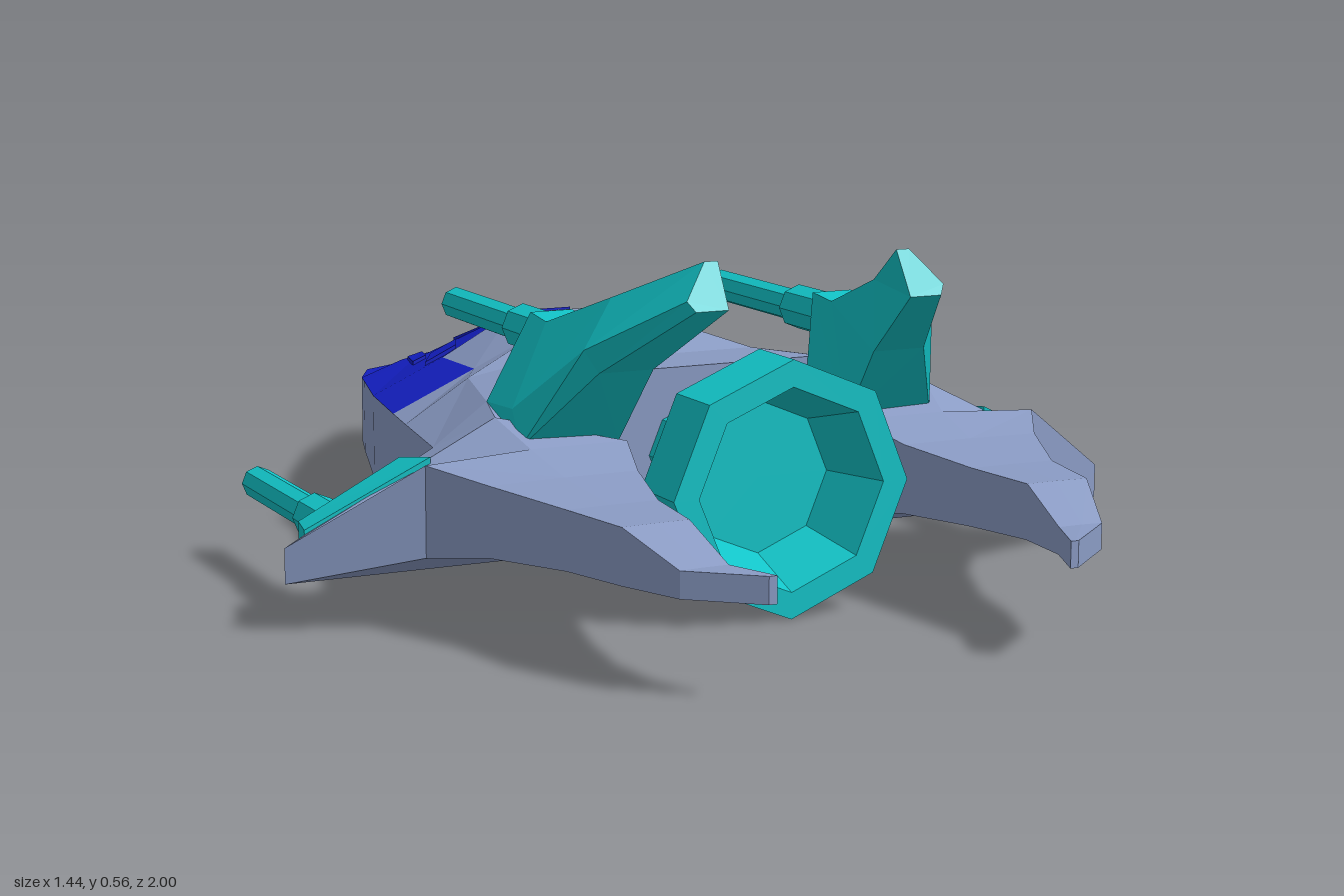
import * as THREE from 'three';

const paint = (color) => new THREE.MeshStandardMaterial({ color, flatShading: true });
const HULL = paint(0x8a9bc4), TEAL = paint(0x12c4c8), BLUE = paint(0x1420c8);

// Skins a list of closed rings, caps both ends and turns the faces outward.
// keep(row, side) selects which quads are built.
function loft(rings, keep = () => true, caps = true) {
  const tris = [];
  const n = rings[0].length;
  for (let i = 0; i < rings.length - 1; i++) {
    for (let j = 0; j < n; j++) {
      const k = (j + 1) % n, a = rings[i], b = rings[i + 1], on = keep(i, j);
      tris.push([a[j], a[k], b[k], on], [a[j], b[k], b[j], on]);
    }
  }
  const last = rings[rings.length - 1];
  for (let j = 1; j < n - 1; j++) {
    tris.push([rings[0][0], rings[0][j + 1], rings[0][j], caps], [last[0], last[j], last[j + 1], caps]);
  }
  let volume = 0;
  const v = [0, 1, 2].map(() => new THREE.Vector3());
  for (const t of tris) {
    v.forEach((p, i) => p.fromArray(t[i]));
    volume += v[0].dot(v[1].cross(v[2]));
  }
  const pos = [];
  for (const [a, b, c, on] of tris) {
    if (on) pos.push(...a, ...(volume < 0 ? [...c, ...b] : [...b, ...c]));
  }
  const g = new THREE.BufferGeometry();
  g.setAttribute('position', new THREE.Float32BufferAttribute(pos, 3));
  g.computeVertexNormals();
  return g;
}

// Hull stations: z, half width, bottom, edge height, shoulder x, y, roof x, y
const STATIONS = [
  [-1, 0.04, 0.115, 0.14, 0.03, 0.141, 0.01, 0.142],
  [-0.8, 0.155, 0.09, 0.178, 0.1, 0.185, 0.04, 0.19],
  [-0.6, 0.24, 0.08, 0.2, 0.16, 0.228, 0.07, 0.245],
  [-0.52, 0.265, 0.078, 0.208, 0.17, 0.24, 0.09, 0.27],
  [-0.3, 0.33, 0.075, 0.222, 0.2, 0.28, 0.07, 0.35],
  [-0.06, 0.385, 0.075, 0.235, 0.24, 0.3, 0.1, 0.365],
  [0.06, 0.41, 0.075, 0.24, 0.3, 0.308, 0.22, 0.322],
  [0.28, 0.45, 0.075, 0.245, 0.36, 0.31, 0.23, 0.34],
];

// Height of the deck at a point
function deckY(x, z) {
  const i = Math.max(0, STATIONS.findIndex((s) => s[0] >= z) - 1);
  const a = STATIONS[i], b = STATIONS[i + 1], f = (z - a[0]) / (b[0] - a[0]);
  const [, w, , e, m, my, t, ty] = a.map((p, k) => p + (b[k] - p) * f);
  const ax = Math.abs(x);
  if (ax <= t) return ty;
  return ax <= m ? ty + (my - ty) * (ax - t) / (m - t) : my + (e - my) * (ax - m) / (w - m);
}

// Thin panel lying on the deck
const panel = (pts) => loft([-0.02, 0.006].map((d) => pts.map(([x, z]) => [x, deckY(x, z) + d, z])));

// Flat belly plate: rows of z, half width, underside height
const plate = (rows) => loft(rows.map(([z, w, y]) => [[-w, y, z], [w, y, z], [w, y + 0.025, z], [-w, y + 0.025, z]]));

// Eight-sided turned part lying along z; profile is [radius, z]
function turned(profile, direction) {
  const pts = profile.map(([r, z]) => new THREE.Vector2(r, z * direction));
  return new THREE.LatheGeometry(pts, 8).rotateX(direction * Math.PI / 2);
}

export function createModel() {
  const model = new THREE.Group();
  const add = (name, geometry, material, x = 0, y = 0) => {
    const mesh = new THREE.Mesh(geometry, material);
    mesh.name = name;
    mesh.position.set(x, y, 0);
    model.add(mesh);
  };

  // Faceted hull with painted deck facets
  const rings = STATIONS.map(([z, w, b, e, m, my, t, ty]) => [
    [-w, b, z], [w, b, z], [w, e, z], [m, my, z], [t, ty, z], [-t, ty, z], [-m, my, z], [-w, e, z],
  ]);
  const painted = (i, j) => (j === 6 && i >= 1 && i <= 4) || ((j === 3 || j === 5) && (i === 2 || i === 3));
  add('hull', loft(rings, (i, j) => !painted(i, j)), HULL);
  add('paintedDeck', loft(rings, painted, false), BLUE);

  // Stepped belly plates
  add('outerBellyPlate', plate([[0.23, 0.39, 0.065], [-0.3, 0.29, 0.065], [-0.58, 0.21, 0.069], [-0.78, 0.13, 0.08], [-0.95, 0.03, 0.1]]), HULL);
  add('innerBellyPlate', plate([[0.13, 0.26, 0.055], [-0.3, 0.19, 0.056], [-0.55, 0.13, 0.06], [-0.73, 0.06, 0.07]]), HULL);

  // Windows and nose marker
  add('cockpitWindow', panel([[-0.09, -0.52], [0.09, -0.52], [0.05, -0.31], [-0.05, -0.31]]), BLUE);
  add('noseMarker', panel([[0, -0.91], [0.07, -0.79], [-0.07, -0.79]]), TEAL);
  for (const [side, s, mat] of [['left', 1, TEAL], ['right', -1, BLUE]]) {
    add(side + 'FrontWindow', panel([[0.14 * s, -0.55], [0.165 * s, -0.56], [0.205 * s, -0.43], [0.18 * s, -0.43]]), mat);
    add(side + 'RearWindow', panel([[0.13 * s, -0.41], [0.175 * s, -0.42], [0.225 * s, -0.32], [0.17 * s, -0.31]]), mat);
  }

  // Engine with hollow nozzle
  add('engine', turned([[0, 0.27], [0.08, 0.27], [0.08, 0.32], [0.14, 0.41], [0.155, 0.46], [0.155, 0.49],
    [0.2, 0.5], [0.2, 0.61], [0.158, 0.61], [0.12, 0.5], [0, 0.5]], 1), TEAL, 0, 0.2);

  // Wing and tail prong: z, inner x, outer x, bottom, outer top, ridge x, ridge top
  const wing = [
    [0.28, 0.19, 0.45, 0.075, 0.245, 0.36, 0.31],
    [0.36, 0.19, 0.72, 0.075, 0.13, 0.38, 0.3],
    [0.45, 0.2, 0.53, 0.115, 0.255, 0.36, 0.265],
    [0.55, 0.23, 0.47, 0.13, 0.238, 0.35, 0.24],
    [0.69, 0.265, 0.41, 0.135, 0.225, 0.34, 0.226],
    [0.82, 0.28, 0.385, 0.14, 0.224, 0.33, 0.225],
    [0.92, 0.27, 0.345, 0.14, 0.18, 0.31, 0.181],
    [1, 0.237, 0.25, 0.14, 0.18, 0.244, 0.18],
  ];
  // Swept fin sections: [x, y, z] around each ring
  const fin = [
    [[0.2, 0.24, 0.28], [0.36, 0.24, 0.28], [0.36, 0.31, 0.28], [0.285, 0.445, 0.28], [0.215, 0.445, 0.28]],
    [[0.2, 0.26, 0.42], [0.36, 0.26, 0.41], [0.36, 0.315, 0.38], [0.29, 0.44, 0.35], [0.21, 0.44, 0.35]],
    [[0.19, 0.385, 0.52], [0.28, 0.385, 0.52], [0.3, 0.42, 0.51], [0.25, 0.495, 0.5], [0.2, 0.495, 0.5]],
    [[0.152, 0.495, 0.69], [0.205, 0.495, 0.69], [0.215, 0.51, 0.68], [0.172, 0.562, 0.65], [0.15, 0.562, 0.65]],
  ];
  // Wing gun mount: x, bottom and top at its front, then at its back
  const mount = [
    [[0.505, 0.08, 0.28], [0.67, 0.08, 0.28], [0.67, 0.15, 0.28], [0.505, 0.235, 0.28]],
    [[0.49, 0.08, 0.37], [0.685, 0.08, 0.35], [0.685, 0.152, 0.35], [0.49, 0.25, 0.37]],
  ];
  // Barrel with thick collar and bored muzzle
  const gun = turned([[0, 0.31], [0.037, 0.31], [0.037, 0.17], [0.027, 0.17], [0.027, -0.11], [0.018, -0.11], [0.018, -0.04], [0, -0.04]], -1);

  for (const [side, s] of [['left', 1], ['right', -1]]) {
    const mirror = (rs) => rs.map((r) => r.map(([x, y, z]) => [x * s, y, z]));
    const wingRings = wing.map(([z, xi, xo, b, yo, xm, ym]) => [
      [xi, b, z], [xo, b, z], [xo, yo, z], [xm, ym, z], [xi, Math.min(ym, yo + 0.03), z],
    ]);
    add(side + 'Wing', loft(mirror(wingRings)), HULL);
    add(side + 'Fin', loft(mirror(fin)), TEAL);
    add(side + 'GunMount', loft(mirror(mount)), TEAL);
    add(side + 'WingGun', gun, TEAL, 0.605 * s, 0.13);
    add(side + 'FinGun', gun, TEAL, 0.25 * s, 0.405);
  }
  return model;
}
